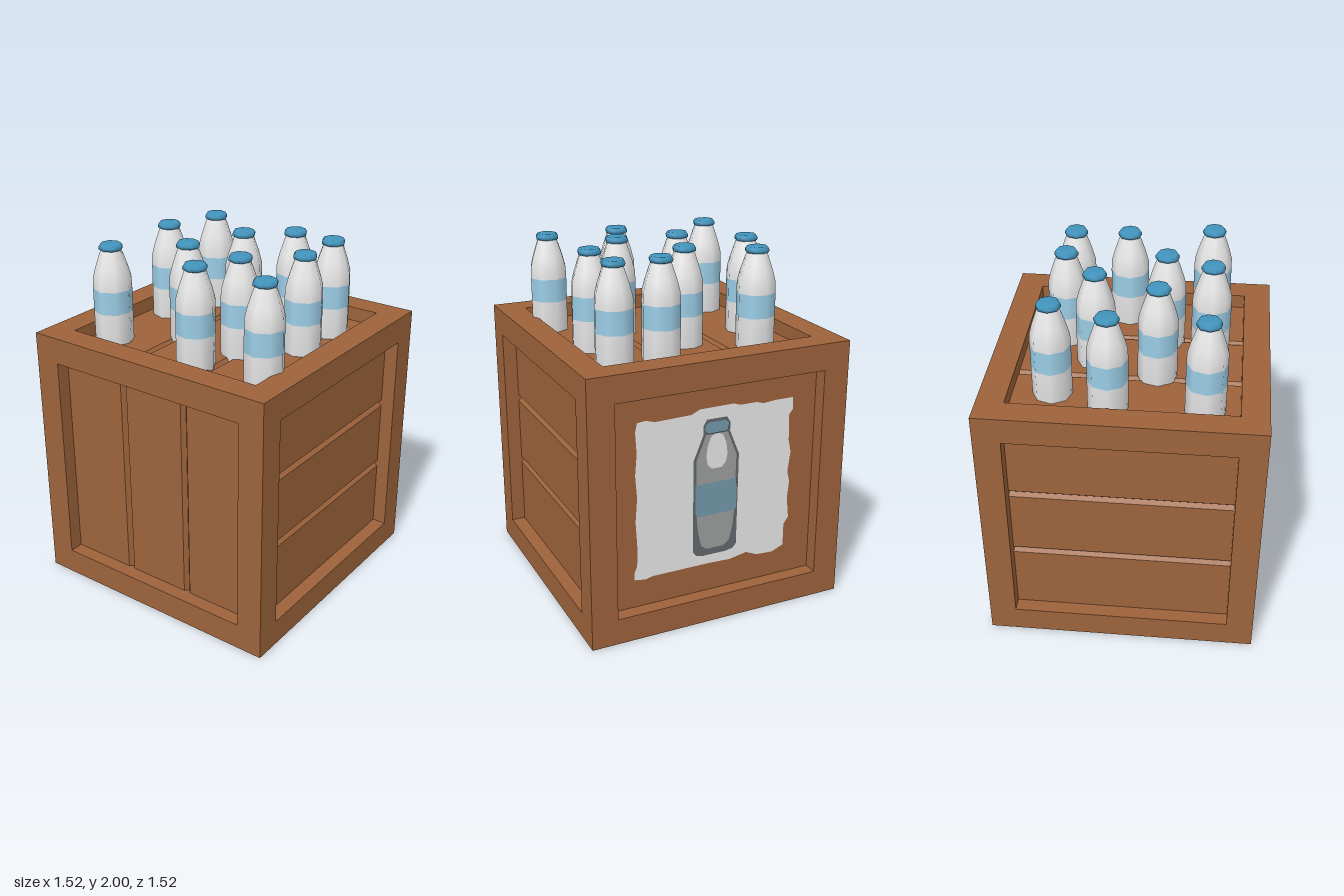
import * as THREE from 'three';

const paint = (name, color) => {
  const m = new THREE.MeshStandardMaterial({ color });
  m.name = name;
  return m;
};

const HALF = 0.76, INNER = 0.61, FLOOR = 0.68, BEAM = HALF - INNER;

export function createModel() {
  const wood = paint('wood', 0x9d633b);
  const white = paint('milk white', 0xf2f2f2);
  const labelBlue = paint('label blue', 0xa6dbf5);
  const capBlue = paint('cap blue', 0x4294bd);
  const darkGrey = paint('print dark grey', 0x62676c);
  const grey = paint('print grey', 0x9b9f9d);
  const printBlue = paint('print blue', 0x7399aa);

  const model = new THREE.Group();
  model.name = 'bottleCrate';

  const add = (parent, name, geometry, material) => {
    const mesh = new THREE.Mesh(geometry, material);
    mesh.name = name;
    parent.add(mesh);
    return mesh;
  };

  // Crate, built around its own centre
  const crate = new THREE.Group();
  crate.name = 'crate';
  crate.position.y = HALF + 0.003;
  model.add(crate);

  // Frame: four posts and eight rails
  const mid = (HALF + INNER) / 2;
  for (const a of [-mid, mid]) {
    for (const b of [-mid, mid]) {
      add(crate, 'post', new THREE.BoxGeometry(BEAM, 2 * HALF, BEAM), wood).position.set(a, 0, b);
      add(crate, 'sideRail', new THREE.BoxGeometry(BEAM, BEAM, 2 * INNER), wood).position.set(a, b, 0);
      add(crate, 'crossRail', new THREE.BoxGeometry(2 * INNER, BEAM, BEAM), wood).position.set(0, a, b);
    }
  }

  // Recessed panel facing +z, with V grooves running along x
  const panel = (grooves) => {
    const s = new THREE.Shape();
    s.moveTo(-INNER, FLOOR - 0.05);
    s.lineTo(INNER, FLOOR - 0.05);
    s.lineTo(INNER, FLOOR);
    for (const u of grooves) {
      s.lineTo(u + 0.02, FLOOR);
      s.lineTo(u, FLOOR - 0.022);
      s.lineTo(u - 0.02, FLOOR);
    }
    s.lineTo(-INNER, FLOOR);
    s.closePath();
    const g = new THREE.ExtrudeGeometry(s, { depth: 2 * INNER, bevelEnabled: false });
    g.translate(0, 0, -INNER);
    return g.applyMatrix4(new THREE.Matrix4().makeBasis(
      new THREE.Vector3(0, 1, 0), new THREE.Vector3(0, 0, 1), new THREE.Vector3(1, 0, 0)));
  };
  const Q = Math.PI / 2, grooves = [0.205, -0.205];
  add(crate, 'frontPanel', panel(grooves), wood);
  add(crate, 'backPanel', panel(grooves).rotateY(Math.PI), wood);
  add(crate, 'rightPanel', panel(grooves).rotateZ(Q).rotateY(-Q), wood);
  add(crate, 'leftPanel', panel([]).rotateY(Q), wood);
  add(crate, 'topPanel', panel(grooves).rotateX(-Q), wood);
  add(crate, 'bottomPanel', panel(grooves).rotateX(Q), wood);

  // Poster: thin layers on the plain panel, drawn across and up
  const poster = new THREE.Group();
  poster.name = 'poster';
  poster.rotation.y = Q;
  poster.position.x = FLOOR;
  model.add(poster);
  const layer = (name, points, material, level) => {
    const shape = new THREE.Shape(points.map(([x, y]) => new THREE.Vector2(x, y)));
    add(poster, name, new THREE.ShapeGeometry(shape), material).position.z = 0.003 * level;
  };
  // Mirrors a half outline that runs from bottom to top
  const mirrored = (half) => [...half, ...half.map(([x, y]) => [-x, y]).reverse()];

  layer('paper', [
    [-0.48, 0.32], [-0.42, 0.31], [-0.37, 0.32], [-0.04, 0.32], [0.1, 0.315], [0.2, 0.335],
    [0.27, 0.305], [0.37, 0.3], [0.44, 0.33], [0.44, 0.46], [0.468, 0.5], [0.455, 0.62],
    [0.465, 0.72], [0.45, 0.78], [0.465, 0.9], [0.45, 0.97], [0.445, 1.12], [0.468, 1.15],
    [0.465, 1.22], [0.36, 1.22], [0.28, 1.213], [0.24, 1.226], [0.14, 1.226], [0.1, 1.24],
    [-0.1, 1.238], [-0.15, 1.215], [-0.36, 1.21], [-0.41, 1.226], [-0.46, 1.22], [-0.47, 1.17],
    [-0.462, 1.05], [-0.472, 0.93], [-0.462, 0.8], [-0.472, 0.66], [-0.462, 0.5],
    [-0.465, 0.4], [-0.482, 0.36],
  ], white, 1);
  layer('printedOutline', mirrored([
    [0.07, 0.375], [0.115, 0.385], [0.133, 0.41], [0.137, 0.95], [0.12, 0.99],
    [0.08, 1.09], [0.08, 1.14], [0.06, 1.175],
  ]), darkGrey, 2);
  layer('printedBody', mirrored([
    [0.05, 0.415], [0.085, 0.44], [0.105, 0.52], [0.115, 0.62], [0.12, 0.95], [0.1, 1.0],
    [0.065, 1.09],
  ]), grey, 3);
  layer('printedLabel', mirrored([[0.115, 0.62], [0.125, 0.64], [0.125, 0.81]]), printBlue, 4);
  layer('printedCap', mirrored([[0.055, 1.095], [0.07, 1.11], [0.07, 1.145], [0.05, 1.16]]), printBlue, 4);
  layer('printedHighlight', mirrored([
    [0.03, 0.892], [0.055, 0.92], [0.064, 0.965], [0.055, 1.03], [0.035, 1.08], [0.012, 1.09],
  ]), white, 4);

  // Bottles: eight-sided lathe bands sharing one set of geometries
  const lathe = (points) => new THREE.LatheGeometry(points.map(([r, y]) => new THREE.Vector2(r, y)), 8);
  const bands = [
    ['lowerBody', lathe([[0.001, 1.41], [0.09, 1.41], [0.108, 1.43], [0.108, 1.62]]), white],
    ['label', lathe([[0.108, 1.62], [0.108, 1.75]]), labelBlue],
    ['shoulder', lathe([[0.108, 1.75], [0.106, 1.81], [0.09, 1.87], [0.068, 1.935], [0.055, 1.97]]), white],
    ['cap', lathe([[0.05, 1.962], [0.065, 1.97], [0.066, 1.985], [0.056, 2.0], [0, 2.0]]), capBlue],
  ];
  const spots = [
    [-0.425, -0.48], [0.085, -0.485], [0.395, -0.38], [-0.15, -0.165], [0.2, -0.04], [-0.425, 0.095],
    [-0.17, 0.2], [0.385, 0.185], [-0.415, 0.525], [0.06, 0.455], [0.365, 0.445],
  ];
  spots.forEach(([x, z]) => {
    const bottle = new THREE.Group();
    bottle.name = 'bottle';
    bottle.position.set(x, 0, z);
    bottle.rotation.y = 0.08;
    for (const [name, geometry, material] of bands) add(bottle, name, geometry, material);
    model.add(bottle);
  });

  return model;
}
